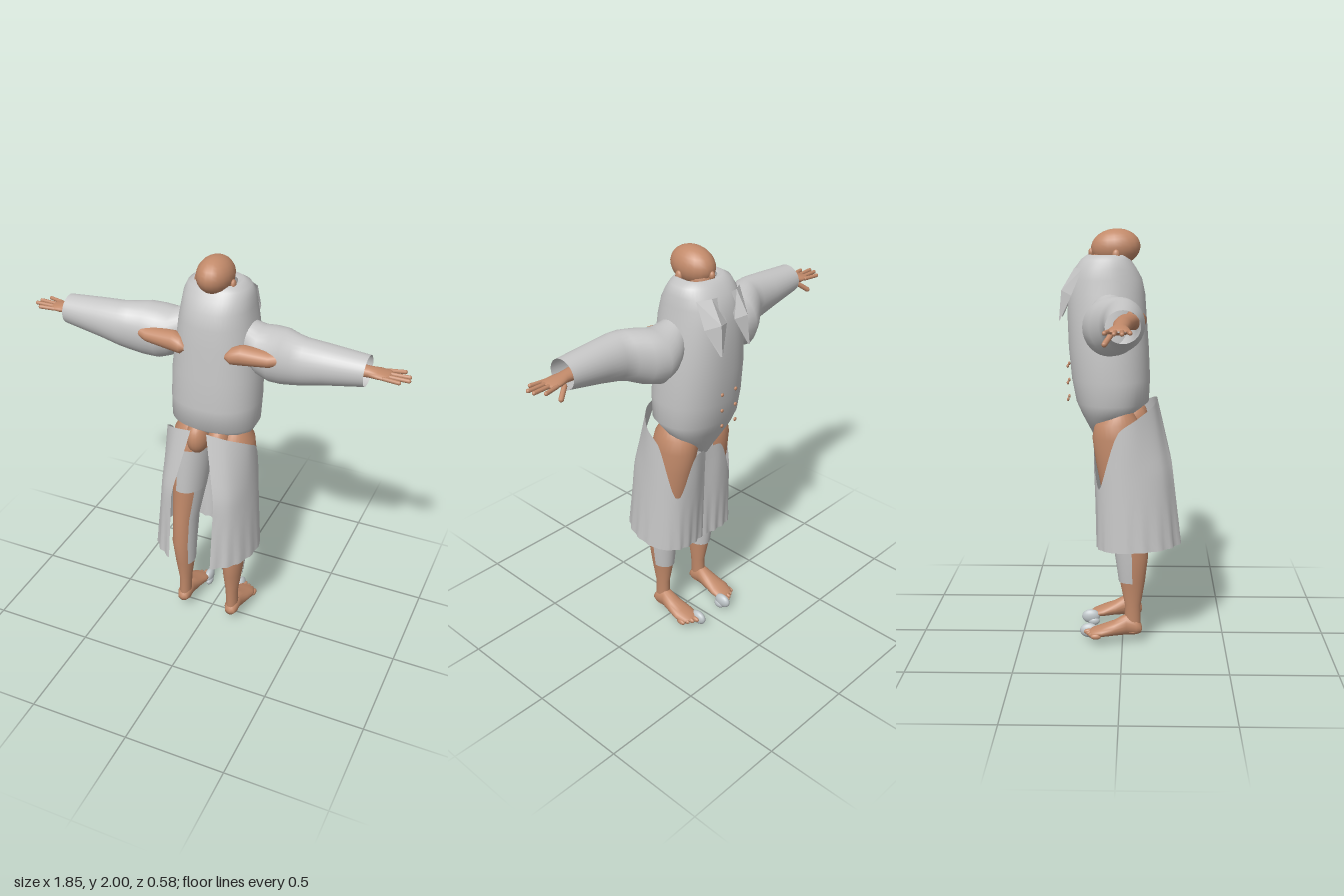
import * as THREE from 'three';

const cloth = new THREE.MeshStandardMaterial({ color: 0xc6c6c6, side: THREE.DoubleSide });
cloth.name = 'grey cloth';
const skin = new THREE.MeshStandardMaterial({ color: 0xc28a6a });
skin.name = 'tan skin';
const claw = new THREE.MeshStandardMaterial({ color: 0xbfc6c9 });
claw.name = 'pale toe cap';

// Indexed surface through rows of points
function surface(rows, closed, flip) {
  const n = rows[0].length, index = [];
  for (let i = 0; i < rows.length - 1; i++) {
    for (let j = 0; j < (closed ? n : n - 1); j++) {
      const k = (j + 1) % n;
      const a = i * n + j, b = i * n + k, c = a + n, d = b + n;
      if (flip) index.push(a, c, b, b, c, d);
      else index.push(a, b, c, b, d, c);
    }
  }
  const g = new THREE.BufferGeometry();
  g.setAttribute('position', new THREE.Float32BufferAttribute(rows.flat(2), 3));
  g.setIndex(index);
  g.computeVertexNormals();
  return g;
}

// Elliptical loft; ring = [position on axis, aMin, aMax, bMin, bMax], position rising.
// axis y: a = x, b = z; axis x: a = y, b = z; axis z: a = x, b = y
function loft(axis, rings, { arc = [0, 2], n = 28, power = 1, grow = 0 } = {}) {
  const closed = arc[1] - arc[0] >= 2;
  const count = closed ? n : n + 1;
  const bend = (v) => Math.sign(v) * Math.abs(v) ** power;
  const rows = rings.map(([p, a0, a1, b0, b1]) => Array.from({ length: count }, (_, j) => {
    const t = Math.PI * (arc[0] + (arc[1] - arc[0]) * j / n);
    const a = (a0 + a1) / 2 + ((a1 - a0) / 2 + grow) * bend(Math.cos(t));
    const b = (b0 + b1) / 2 + ((b1 - b0) / 2 + grow) * bend(Math.sin(t));
    return axis === 'y' ? [a, p, b] : axis === 'x' ? [p, a, b] : [a, b, p];
  }));
  return surface(rows, closed, axis === 'y');
}

function ball(x, y, z, rx, ry, rz) {
  return new THREE.SphereGeometry(1, 20, 14).scale(rx, ry, rz).translate(x, y, z);
}

// Tapered finger between two points
function finger(from, to, r) {
  const a = new THREE.Vector3(...from), b = new THREE.Vector3(...to);
  const d = b.clone().sub(a);
  const g = new THREE.CapsuleGeometry(r, d.length() - r, 4, 8);
  g.applyQuaternion(new THREE.Quaternion().setFromUnitVectors(new THREE.Vector3(0, 1, 0), d.normalize()));
  const m = a.add(b).multiplyScalar(0.5);
  return g.translate(m.x, m.y, m.z);
}

// Open coat skirt: cross-sections from the rear slit round to the front middle
function skirtHalf() {
  const level = (pts) => new THREE.CatmullRomCurve3(pts.map(([x, z, y]) => new THREE.Vector3(x, y || 0, z)));
  const top = level([[0.04, 0.165, 1.2], [0.13, 0.14, 1.18], [0.205, 0.06, 1.13], [0.213, -0.01, 1.07],
    [0.175, -0.1, 0.79], [0.08, -0.14, 1.0], [0, -0.13, 1.0]]);
  const mid = level([[0.11, 0.24], [0.18, 0.19], [0.225, 0.08], [0.228, -0.03], [0.185, -0.11], [0.09, -0.137], [0, -0.115]]);
  const low = level([[0.11, 0.285], [0.2, 0.215], [0.252, 0.09], [0.245, -0.04], [0.18, -0.11], [0.09, -0.122], [0, -0.105]]);
  const rows = [];
  for (let i = 0; i <= 14; i++) {
    const row = [];
    for (let j = 0; j <= 42; j++) {
      const t = j / 42;
      const [p, q, r] = [top, mid, low].map((c) => c.getPoint(t));
      const y = THREE.MathUtils.lerp(p.y, 0.505 - 0.02 * t, i / 14);
      const v = y > 0.87 ? p.lerp(q, Math.min(1, (1.2 - y) / 0.33)) : q.lerp(r, (0.87 - y) / 0.37);
      // small pleats growing towards the hem
      const fold = 0.005 * Math.sin(j * 1.5) * Math.max(0, (0.75 - y) / 0.25);
      row.push([v.x * (1 + fold * 2), y, v.z + fold]);
    }
    rows.push(row);
  }
  return surface(rows, false, false);
}

export function createModel() {
  const model = new THREE.Group();
  const add = (name, geometry, material) => {
    const mesh = new THREE.Mesh(geometry, material);
    mesh.name = name;
    model.add(mesh);
  };
  // Adds a part on the left and its mirror on the right
  const pair = (name, geometry, material) => {
    add(name + 'Left', geometry, material);
    const g = geometry.clone().scale(-1, 1, 1);
    const ix = g.index.array;
    for (let i = 0; i < ix.length; i += 3) [ix[i], ix[i + 1]] = [ix[i + 1], ix[i]];
    add(name + 'Right', g, material);
  };

  // Head
  const skull = ball(0, 0, 0, 0.083, 0.086, 0.116).rotateX(-0.1).translate(0, 1.914, -0.034);
  add('head', skull, skin);
  add('jaw', ball(0, 1.86, -0.085, 0.062, 0.07, 0.062), skin);
  add('neck', loft('y', [[1.68, -0.07, 0.07, -0.13, 0.02], [1.88, -0.06, 0.06, -0.11, 0.03]]), skin);
  add('nose', ball(0, 1.89, -0.148, 0.014, 0.02, 0.014), skin);
  pair('ear', ball(0.087, 1.88, -0.03, 0.012, 0.026, 0.018), skin);

  // Coat body, narrowing to a point between the thighs
  const body = [
    [0.985, -0.02, 0.02, -0.125, -0.06], [1.02, -0.07, 0.07, -0.14, -0.01], [1.07, -0.125, 0.125, -0.165, 0.01],
    [1.13, -0.18, 0.18, -0.195, 0.05], [1.19, -0.212, 0.212, -0.222, 0.125], [1.3, -0.215, 0.215, -0.243, 0.13],
    [1.45, -0.212, 0.212, -0.257, 0.123], [1.6, -0.195, 0.195, -0.262, 0.112], [1.7, -0.18, 0.18, -0.258, 0.105],
    [1.77, -0.168, 0.168, -0.247, 0.09], [1.82, -0.162, 0.162, -0.225, 0.062], [1.86, -0.145, 0.145, -0.195, 0.035],
    [1.882, -0.108, 0.108, -0.165, 0.015], [1.872, -0.085, 0.085, -0.14, 0.0],
  ];
  add('coatBody', loft('y', body, { n: 48, power: 0.88 }), cloth);

  // Folded collar points
  const flap = surface([
    [[0.03, 1.82, -0.22], [0.08, 1.825, -0.222], [0.14, 1.82, -0.185]],
    [[0.025, 1.71, -0.262], [0.085, 1.72, -0.285], [0.14, 1.7, -0.235]],
    [[0.085, 1.58, -0.295], [0.09, 1.58, -0.297], [0.098, 1.58, -0.293]],
  ], false, false).toNonIndexed();
  flap.setIndex([...Array(flap.attributes.position.count).keys()]);
  flap.computeVertexNormals();
  pair('collarFlap', flap, cloth);

  // Two columns of buttons
  for (const y of [1.2, 1.28, 1.36]) pair('button', ball(0.045, y, -0.261, 0.009, 0.009, 0.006), skin);

  // Sleeve, full at the elbow and open at the cuff
  pair('sleeve', loft('x', [
    [0.1, 1.53, 1.72, -0.12, 0.0], [0.17, 1.5, 1.71, -0.15, 0.035], [0.22, 1.46, 1.695, -0.17, 0.055],
    [0.28, 1.438, 1.7, -0.178, 0.066], [0.34, 1.45, 1.713, -0.145, 0.082], [0.4, 1.475, 1.715, -0.1, 0.1],
    [0.45, 1.49, 1.712, -0.08, 0.105], [0.55, 1.515, 1.705, -0.075, 0.1], [0.735, 1.552, 1.69, -0.06, 0.088],
  ], { n: 32 }), cloth);

  // Arm, bare behind the shoulder
  pair('arm', loft('x', [
    [0.1, 1.57, 1.6, 0.06, 0.1], [0.125, 1.545, 1.63, 0.02, 0.112], [0.17, 1.545, 1.64, 0.01, 0.105],
    [0.3, 1.56, 1.63, 0.0, 0.095], [0.37, 1.575, 1.64, -0.02, 0.07], [0.6, 1.58, 1.65, -0.03, 0.05],
    [0.74, 1.59, 1.637, -0.03, 0.036], [0.78, 1.593, 1.632, -0.045, 0.045],
    [0.825, 1.598, 1.625, -0.048, 0.046], [0.835, 1.61, 1.615, -0.03, 0.03],
  ], { n: 20 }), skin);
  const tips = [[-0.04, -0.058, 0.885], [-0.014, -0.018, 0.915], [0.012, 0.014, 0.92], [0.036, 0.046, 0.885]];
  for (const [z0, z1, x] of tips) pair('finger', finger([0.805, 1.612, z0], [x, 1.613, z1], 0.0095), skin);
  pair('thumb', finger([0.76, 1.598, -0.03], [0.812, 1.556, -0.062], 0.012), skin);

  // Legs and hips
  const leg = [
    [0.06, 0.105, 0.165, 0.01, 0.09], [0.2, 0.1, 0.163, 0.012, 0.09], [0.32, 0.086, 0.18, -0.012, 0.11],
    [0.45, 0.08, 0.195, -0.03, 0.125], [0.6, 0.076, 0.198, -0.058, 0.112], [0.78, 0.045, 0.205, -0.1, 0.105],
    [0.92, 0.025, 0.208, -0.128, 0.105], [1.03, 0.012, 0.207, -0.143, 0.1], [1.1, 0.012, 0.2, -0.13, 0.08],
    [1.15, 0.05, 0.17, -0.08, 0.05],
  ];
  pair('leg', loft('y', leg), skin);
  pair('buttock', ball(0.055, 1.1, 0.045, 0.055, 0.09, 0.075), skin);

  // Torn trousers: front of the shin and inside of the thigh
  pair('trouserShin', loft('y', leg.slice(2, 6), { arc: [0.75, 2], grow: 0.005 }), cloth);
  pair('trouserThigh', loft('y', leg.slice(5, 8), { arc: [0.4, 1.3], grow: 0.005 }), cloth);

  pair('skirt', skirtHalf(), cloth);

  // Feet
  pair('foot', loft('z', [
    [-0.165, 0.105, 0.15, 0.045, 0.055], [-0.15, 0.085, 0.18, 0.036, 0.07], [-0.1, 0.08, 0.195, 0.036, 0.09],
    [-0.04, 0.09, 0.185, 0.04, 0.115], [0.02, 0.098, 0.172, 0.043, 0.15], [0.07, 0.1, 0.17, 0.045, 0.13],
    [0.092, 0.11, 0.16, 0.055, 0.1], [0.097, 0.13, 0.14, 0.07, 0.08],
  ], { n: 20 }), skin);
  for (let i = 0; i < 4; i++) {
    pair('toe', ball(0.118 + i * 0.022, 0.048, -0.165 + i * 0.012, 0.012, 0.014, 0.026), skin);
  }
  pair('bigToeCap', ball(0.093, 0.045, -0.165, 0.023, 0.036, 0.046), claw);
  pair('toeCapTip', ball(0.085, 0.022, -0.15, 0.018, 0.022, 0.03), claw);
  return model;
}
